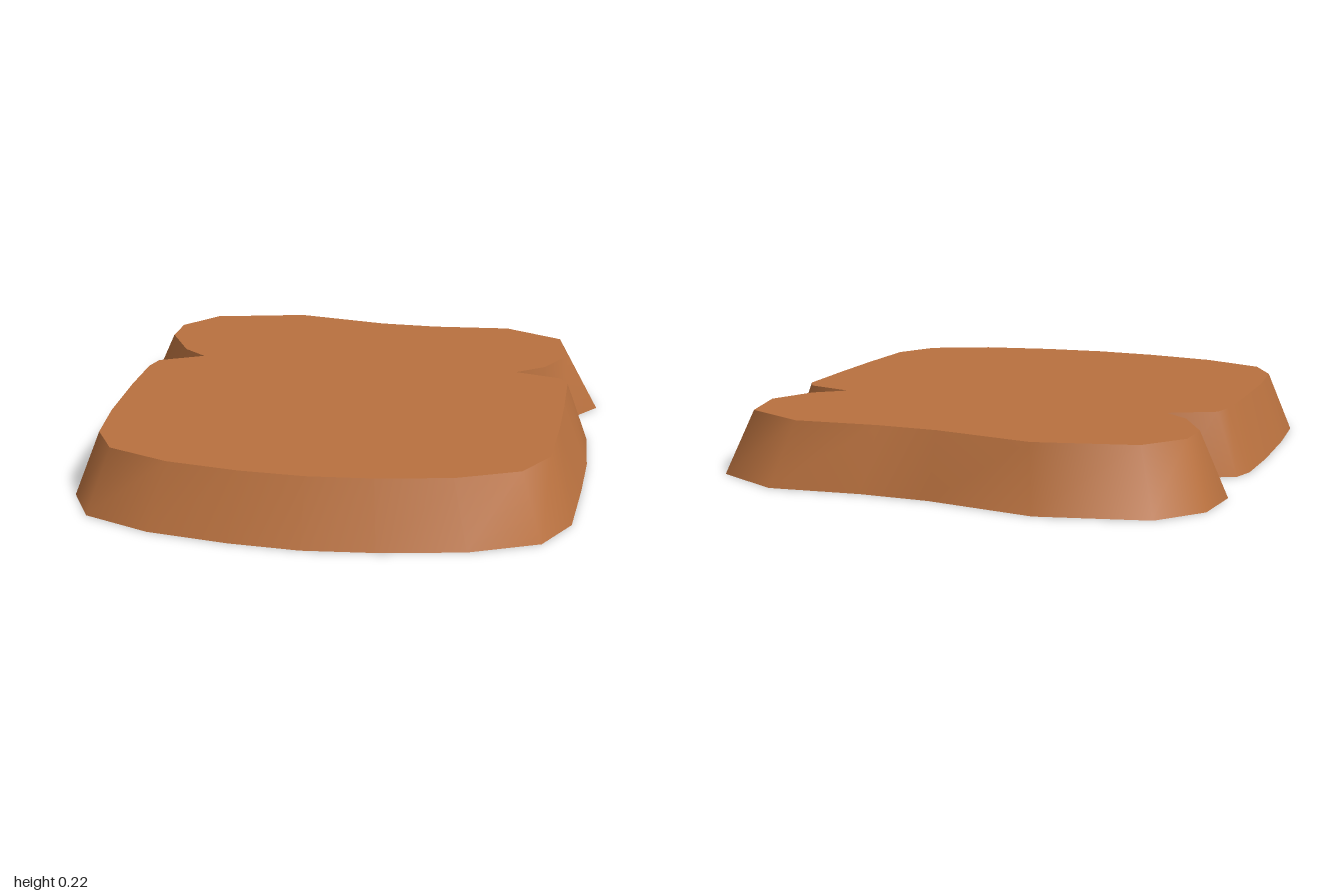
import * as THREE from 'three';
import { toCreasedNormals } from 'three/addons/utils/BufferGeometryUtils.js';

const HEIGHT = 0.22;

// Outlines as [x, z], from the back centre round by -x, the front and +x
const BASE = [
  [-0.38, -1.0], [-0.755, -0.92], [-0.885, -0.76], [-0.905, -0.55], [-0.785, -0.385],
  [-0.68, -0.325], [-0.86, -0.24], [-0.885, -0.155], [-0.89, 0.08], [-0.88, 0.4],
  [-0.86, 0.65], [-0.77, 0.825], [-0.53, 0.93], [-0.245, 0.98], [0, 1.0],
  [0.245, 0.98], [0.535, 0.93], [0.77, 0.825], [0.86, 0.65], [0.88, 0.34],
  [0.89, 0.08], [0.88, -0.185], [0.85, -0.26], [0.68, -0.33], [0.785, -0.38],
  [0.905, -0.55], [0.825, -0.805], [0.585, -0.94], [0.26, -0.915], [0.01, -0.925],
];
const TOP = [
  [-0.34, -0.91], [-0.685, -0.835], [-0.8, -0.69], [-0.805, -0.55], [-0.71, -0.37],
  [-0.62, -0.295], [-0.78, -0.215], [-0.8, -0.14], [-0.805, 0.08], [-0.8, 0.38],
  [-0.78, 0.6], [-0.7, 0.745], [-0.48, 0.84], [-0.225, 0.885], [0, 0.9],
  [0.225, 0.885], [0.48, 0.84], [0.695, 0.745], [0.78, 0.595], [0.795, 0.32],
  [0.8, 0.08], [0.8, -0.18], [0.77, -0.235], [0.6, -0.285], [0.705, -0.365],
  [0.785, -0.525], [0.745, -0.735], [0.525, -0.85], [0.23, -0.83], [0.01, -0.84],
];

// Flat face filling an outline, facing up (side = 1) or down (side = -1)
function capGeometry(outline, y, side) {
  const shape = new THREE.Shape(outline.map(([x, z]) => new THREE.Vector2(x, -side * z)));
  return new THREE.ShapeGeometry(shape).rotateX(-side * Math.PI / 2).translate(0, y, 0);
}

// Sloping wall between the two outlines, smooth except at the notches
function wallGeometry() {
  const positions = [];
  const n = BASE.length;
  const low = (i) => [BASE[i][0], 0, BASE[i][1]];
  const high = (i) => [TOP[i][0], HEIGHT, TOP[i][1]];
  for (let i = 0; i < n; i++) {
    const j = (i + 1) % n;
    positions.push(...low(i), ...low(j), ...high(j), ...low(i), ...high(j), ...high(i));
  }
  const geometry = new THREE.BufferGeometry();
  geometry.setAttribute('position', new THREE.Float32BufferAttribute(positions, 3));
  return toCreasedNormals(geometry, 1.3);
}

export function createModel() {
  const group = new THREE.Group();
  group.name = 'breadSlice';
  const brown = new THREE.MeshStandardMaterial({ color: 0xb9713f });
  brown.name = 'toastedBrown';

  const add = (name, geometry) => {
    const mesh = new THREE.Mesh(geometry, brown);
    mesh.name = name;
    group.add(mesh);
  };
  add('crust', wallGeometry());
  add('topFace', capGeometry(TOP, HEIGHT, 1));
  add('bottomFace', capGeometry(BASE, 0, -1));
  return group;
}
